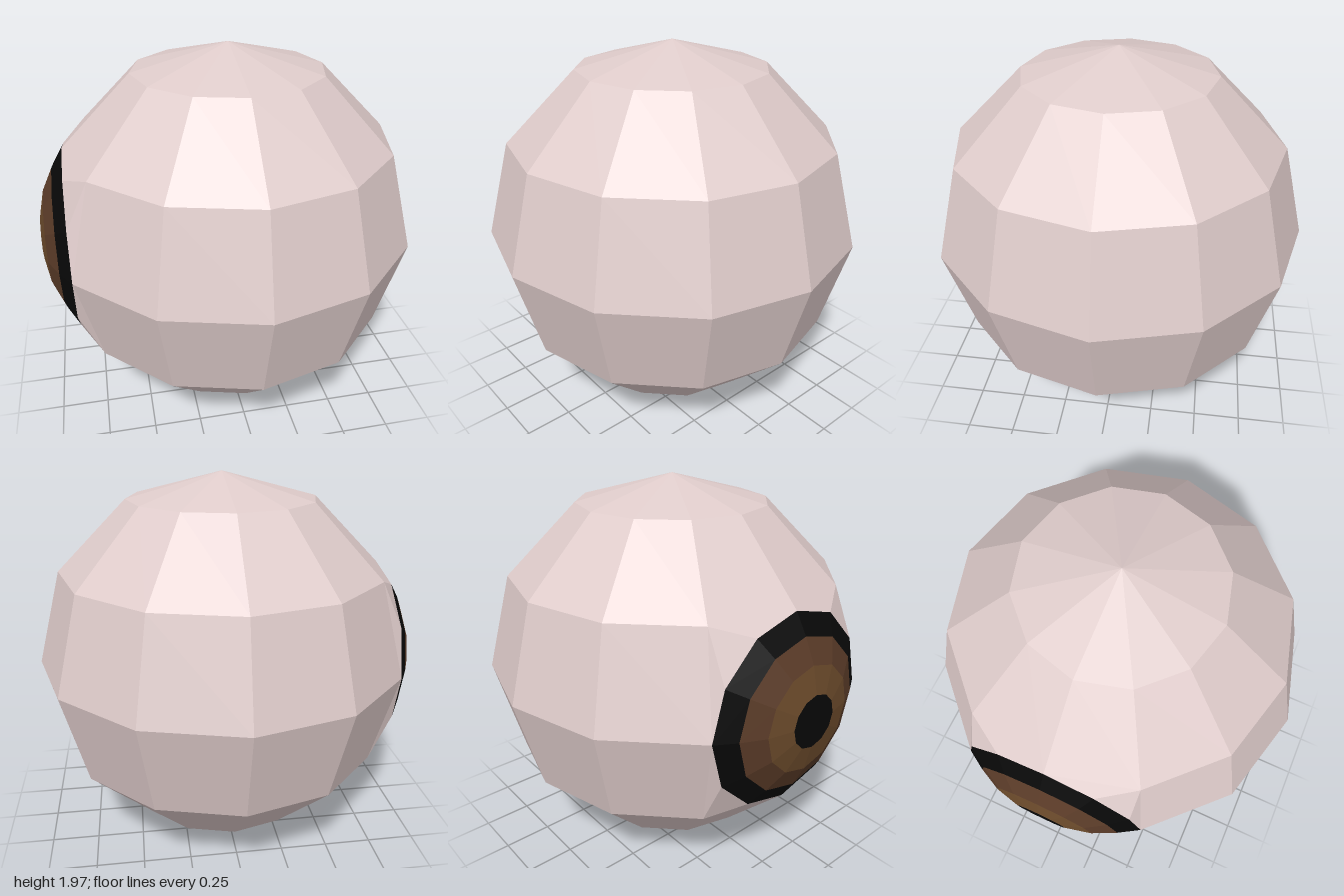
import * as THREE from 'three';

const R = 0.985;    // eyeball radius
const SIDES = 12;

const material = (color) => new THREE.MeshStandardMaterial({ color, flatShading: true });

function addMesh(parent, name, geometry, mat) {
  const mesh = new THREE.Mesh(geometry, mat);
  mesh.name = name;
  parent.add(mesh);
  return mesh;
}

// Low-poly sphere, opened around its -x vertex and patched up to a round rim
function scleraGeometry(rimX, rimR) {
  const source = new THREE.SphereGeometry(R, SIDES, 6).toNonIndexed().attributes.position;
  const points = [];
  const tri = [0, 1, 2].map(() => new THREE.Vector3());
  for (let i = 0; i < source.count; i += 3) {
    tri.forEach((v, k) => v.fromBufferAttribute(source, i + k));
    if ((tri[0].x + tri[1].x + tri[2].x) / 3 > -0.78) tri.forEach((v) => points.push(v.clone()));
  }
  // Each corner of the square opening fans out to a quarter of the rim
  const step = Math.PI / 6;
  const rim = (a) => new THREE.Vector3(rimX, rimR * Math.sin(a), rimR * Math.cos(a));
  for (const sy of [1, -1]) {
    for (const sz of [1, -1]) {
      const corner = new THREE.Vector3(-R * 0.75, sy * R * 0.5, sz * R * Math.sqrt(3) / 4);
      const start = Math.atan2(sy, sz) - Math.PI / 4;
      for (let i = 0; i < 3; i++) {
        points.push(corner, rim(start + (i + 1) * step), rim(start + i * step));
      }
    }
  }
  // Make every patch triangle face outward
  for (let i = 0; i < points.length; i += 3) {
    const [a, b, c] = points.slice(i, i + 3);
    const normal = b.clone().sub(a).cross(c.clone().sub(a));
    if (normal.dot(a.clone().add(b).add(c)) < 0) [points[i + 1], points[i + 2]] = [c, b];
  }
  const geometry = new THREE.BufferGeometry().setFromPoints(points);
  geometry.computeVertexNormals();
  return geometry;
}

export function createModel() {
  const model = new THREE.Group();
  model.name = 'eyeball';
  const eye = new THREE.Group();
  eye.name = 'eye';
  eye.position.set(0.01, R, 0);
  model.add(eye);

  const rimX = -R * Math.sqrt(3) / 2;
  addMesh(eye, 'sclera', scleraGeometry(rimX, R / 2), material(0xdfcccb));

  // Concentric bands of the bulging iris: [radius, distance along -x]
  const profile = [[R / 2, -rimX], [0.39, 0.915], [0.27, 0.972], [0.135, 1.003], [0, 1.008]];
  const bands = [
    ['limbusRing', 0x080808], ['outerIris', 0x5a3b28],
    ['innerIris', 0x6b4a2b], ['pupil', 0x080808],
  ];
  const iris = new THREE.Group();
  iris.name = 'iris';
  iris.rotation.z = Math.PI / 2;
  eye.add(iris);
  bands.forEach(([name, color], i) => {
    const pts = [profile[i], profile[i + 1]].map(([r, y]) => new THREE.Vector2(r, y));
    addMesh(iris, name, new THREE.LatheGeometry(pts, SIDES), material(color));
  });

  return model;
}
